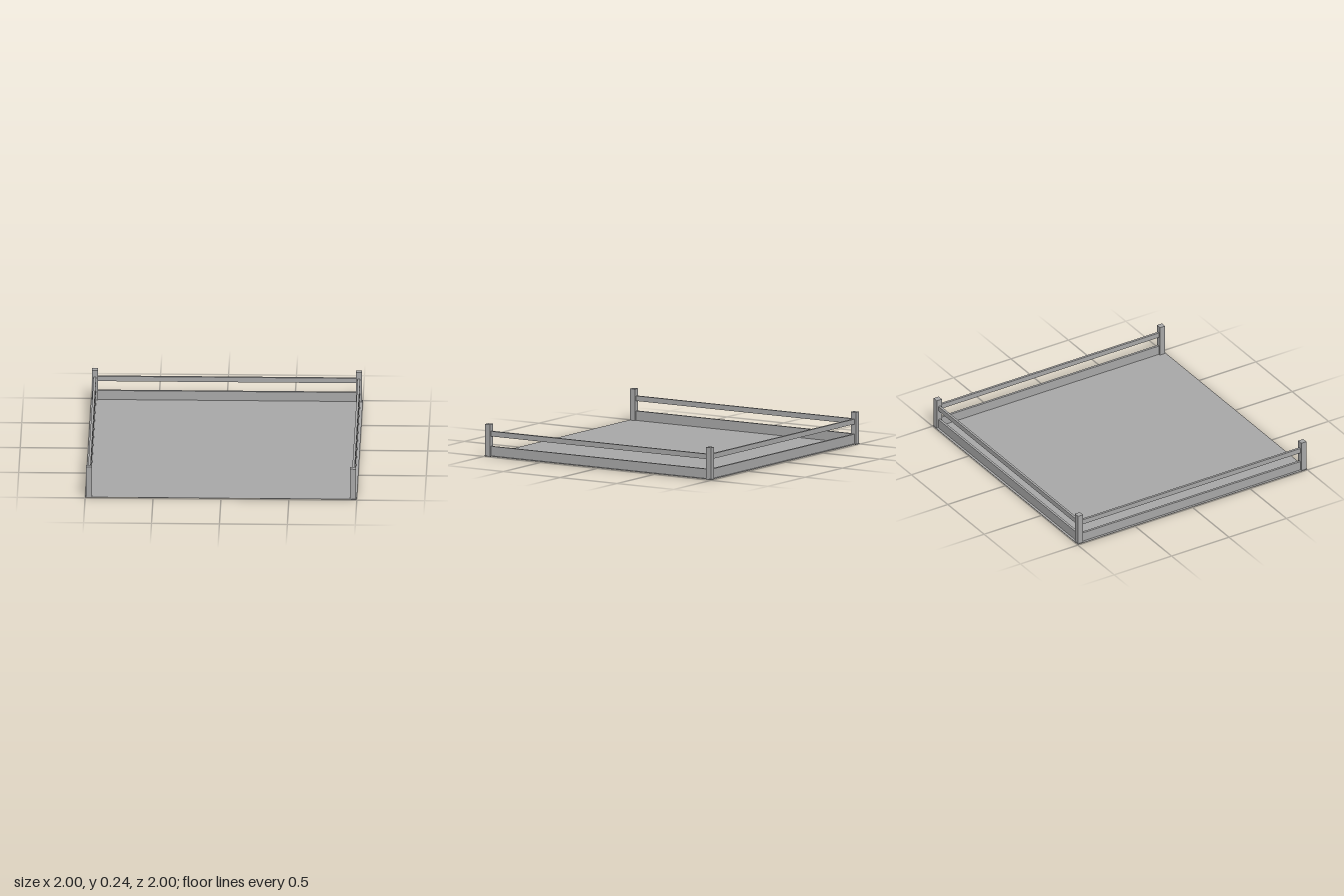
import * as THREE from 'three';

export function createModel() {
  const group = new THREE.Group();
  group.name = 'railedPlatform';
  const gray = new THREE.MeshStandardMaterial({ color: 0xa8a8a8 });
  gray.name = 'gray';

  const box = (name, w, h, d, x, y, z) => {
    const mesh = new THREE.Mesh(new THREE.BoxGeometry(w, h, d), gray);
    mesh.name = name;
    mesh.position.set(x, y, z);
    group.add(mesh);
  };

  // Thin floor, held just above the feet of the posts
  box('floor', 2, 0.002, 2, 0, 0.006, 0);

  // Square corner posts
  const edge = 0.972, postWidth = 0.044, postHeight = 0.242;
  for (const x of [-edge, edge]) {
    for (const z of [-edge, edge]) {
      box('cornerPost', postWidth, postHeight, postWidth, x, postHeight / 2, z);
    }
  }

  // Kick board and top rail on the back and both sides; the front is open
  const span = 2 * edge - postWidth, thickness = 0.018;
  const bars = [['kickBoard', 0.001, 0.078], ['topRail', 0.152, 0.19]];
  for (const [name, low, high] of bars) {
    const h = high - low, y = (low + high) / 2;
    box(name + 'Back', span, h, thickness, 0, y, -edge);
    box(name + 'Left', thickness, h, span, edge, y, 0);
    box(name + 'Right', thickness, h, span, -edge, y, 0);
  }
  return group;
}
